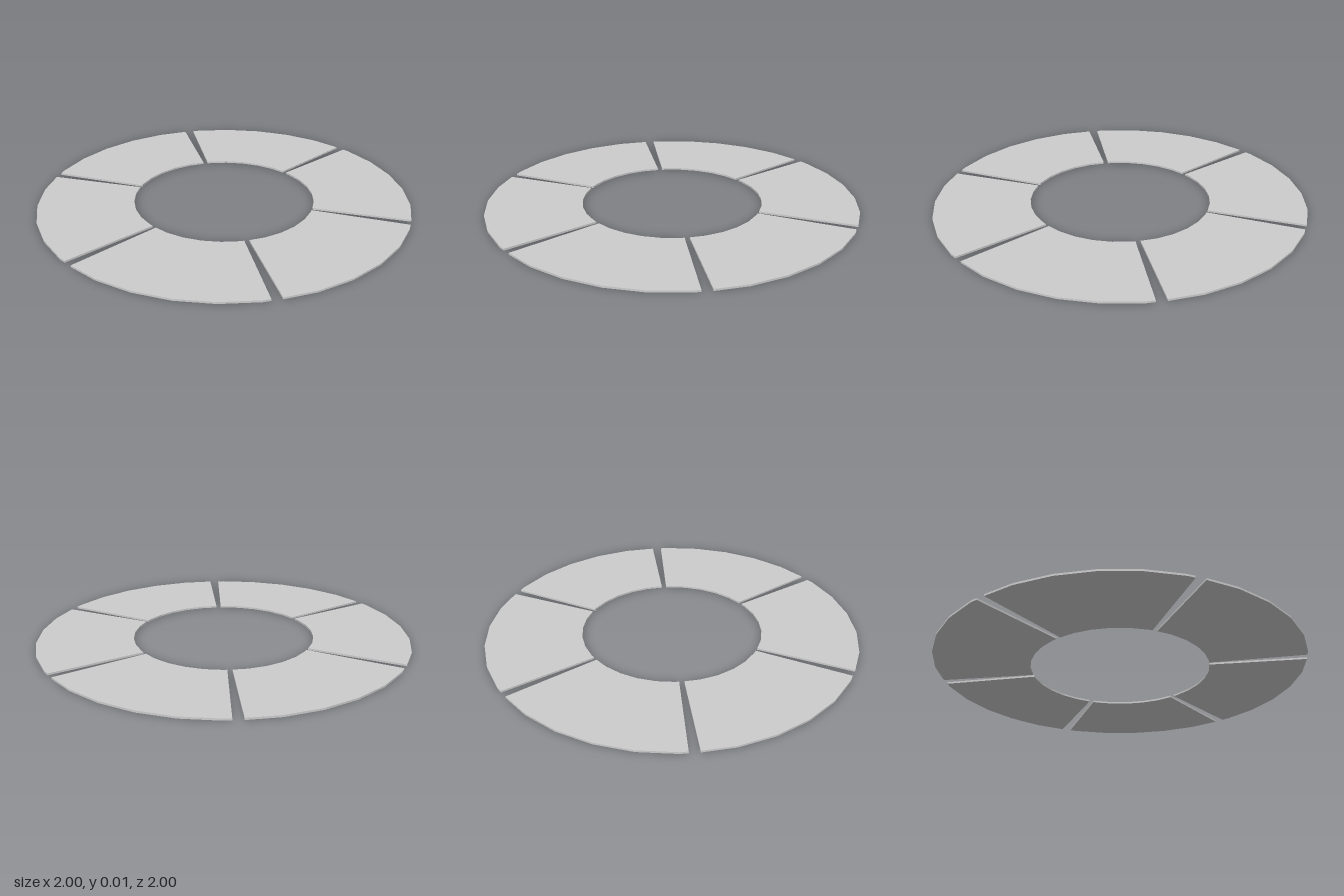
import * as THREE from 'three';

const SEGMENTS = 6, OUTER = 1.002, INNER = 0.487, THICKNESS = 0.01;
const STEP = Math.PI / 16;                       // facets of a 32-sided ring
const GAP = THREE.MathUtils.degToRad(1.5);       // half the gap between segments
const SPAN = Math.PI * 2 / SEGMENTS;

// Point on the faceted ring at angle a
function ringPoint(radius, a) {
  const middle = (Math.floor(a / STEP + 1e-6) + 0.5) * STEP;
  const r = radius * Math.cos(STEP / 2) / Math.cos(a - middle);
  return new THREE.Vector2(r * Math.cos(a), r * Math.sin(a));
}

// Flat wedge of the ring, lying on the ground
function segmentGeometry() {
  const angles = [GAP];
  for (let a = STEP; a < SPAN - GAP; a += STEP) angles.push(a);
  angles.push(SPAN - GAP);
  const outer = angles.map(a => ringPoint(OUTER, a));
  const inner = angles.map(a => ringPoint(INNER, a)).reverse();
  const geometry = new THREE.ExtrudeGeometry(new THREE.Shape([...outer, ...inner]), {
    depth: THICKNESS, bevelEnabled: false,
  });
  return geometry.rotateX(-Math.PI / 2);
}

export function createModel() {
  const model = new THREE.Group();
  model.name = 'segmentedRing';
  const material = new THREE.MeshStandardMaterial({ color: 0xcccccc, flatShading: true });
  const geometry = segmentGeometry();

  // Six identical segments around the centre
  for (let i = 0; i < SEGMENTS; i++) {
    const segment = new THREE.Mesh(geometry, material);
    segment.name = `ringSegment${i + 1}`;
    segment.rotation.y = i * SPAN;
    model.add(segment);
  }
  return model;
}
